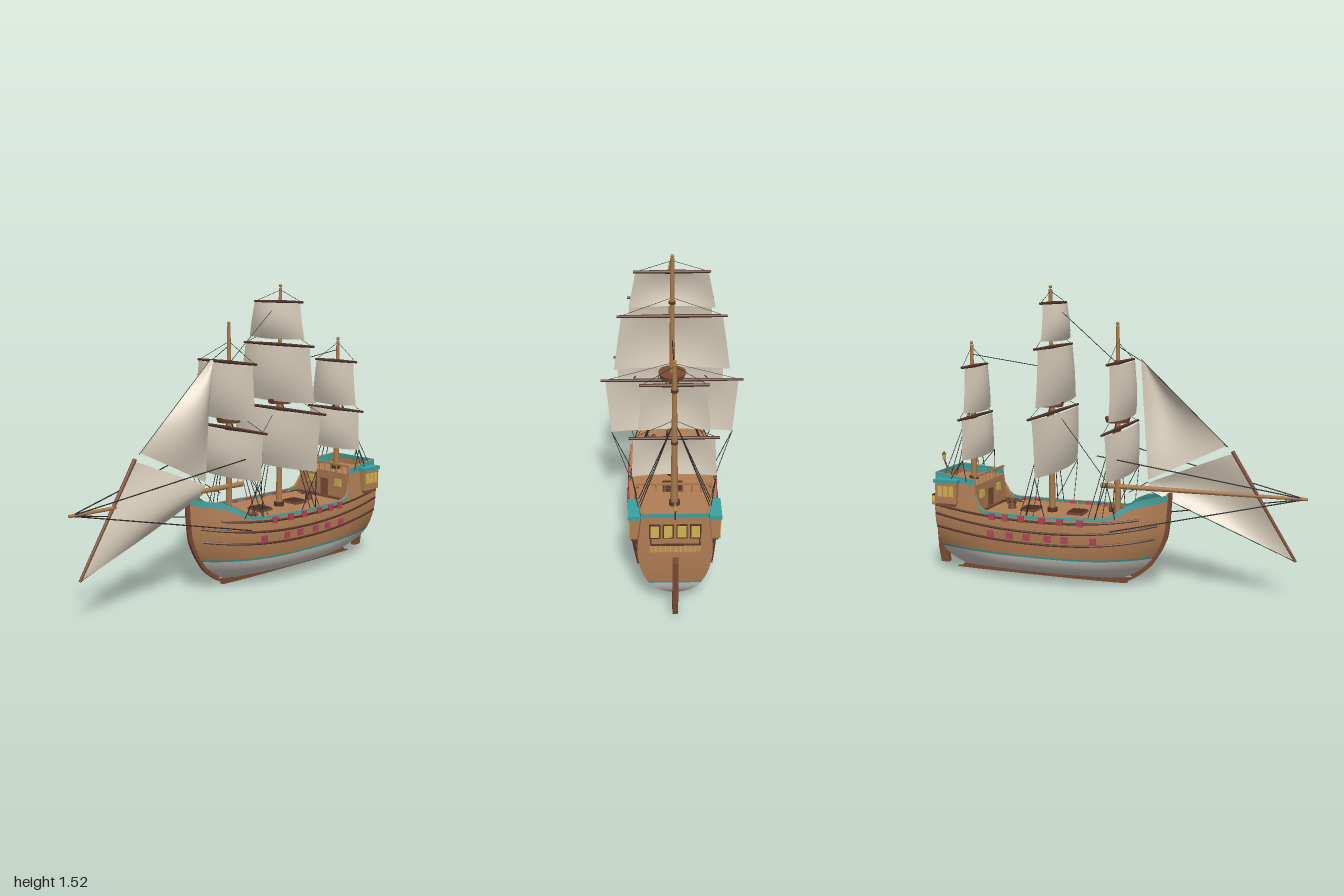
import * as THREE from 'three';

const mat = (name, color, double) => {
  const m = new THREE.MeshStandardMaterial({ color });
  m.name = name;
  if (double) m.side = THREE.DoubleSide;
  return m;
};
const M = {
  wood: mat('plankWood', 0xb07d54, true),
  dark: mat('darkWood', 0x55352a),
  brown: mat('brownWood', 0x7a4a34),
  mast: mat('mastWood', 0xa87a4c),
  white: mat('paleBottom', 0xcdc8c0, true),
  teal: mat('tealTrim', 0x3aa0a0, true),
  sail: mat('sailCloth', 0xd6cbb9, true),
  red: mat('portRed', 0xb04553),
  yellow: mat('windowYellow', 0xd2b252),
  rope: mat('rope', 0x2c2725),
};

// interpolation through a short table, smooth or straight
function table(pts, smooth = true) {
  const slope = i => {
    const a = pts[Math.max(0, i - 1)], b = pts[Math.min(pts.length - 1, i + 1)];
    return (b[1] - a[1]) / (b[0] - a[0]);
  };
  return v => {
    const x = Math.min(Math.max(v, pts[0][0]), pts[pts.length - 1][0]);
    let i = 0;
    while (i < pts.length - 2 && x > pts[i + 1][0]) i++;
    const [x0, y0] = pts[i], [x1, y1] = pts[i + 1], h = x1 - x0, t = (x - x0) / h;
    if (!smooth) return y0 + (y1 - y0) * t;
    const a = 1 - t;
    return y0 * a * a * (1 + 2 * t) + y1 * t * t * (3 - 2 * t) + h * t * a * (slope(i) * a - slope(i + 1) * t);
  };
}

// hull lines: beam, stern fullness, stern and stem rake, sheer of the rail
const beam = table([[0.02, 0.01], [0.045, 0.1], [0.07, 0.15], [0.1, 0.18], [0.15, 0.202], [0.22, 0.211], [0.3, 0.215], [0.38, 0.207], [0.46, 0.192], [0.56, 0.178]]);
const sternFull = table([[0.02, 0.15], [0.1, 0.45], [0.2, 0.68], [0.35, 0.79], [0.56, 0.82]]);
const sternZ = table([[0.02, -0.82], [0.1, -0.885], [0.2, -0.908], [0.35, -0.918], [0.56, -0.92]]);
const stemZ = table([[0.02, 0.04], [0.06, 0.14], [0.1, 0.195], [0.15, 0.238], [0.22, 0.278], [0.3, 0.302], [0.45, 0.316], [0.56, 0.32]]);
const sheer = table([[-0.93, 0.55], [-0.682, 0.525], [-0.677, 0.45], [-0.65, 0.395], [-0.62, 0.372], [-0.3, 0.368], [0.05, 0.378], [0.1, 0.42], [0.17, 0.455], [0.32, 0.482]], false);
const sheerU = u => sheer(-0.92 + 1.236 * u);
const trim = u => (u < 0.195 || u > 0.81 ? 0.03 : 0.014);

function halfWidth(u, y) {
  const f = u > 0.45 ? 1 - ((u - 0.45) / 0.55) ** 3.5 : 1 - (1 - sternFull(y)) * ((0.45 - u) / 0.45) ** 2;
  return beam(y) * f;
}
const hullZ = (u, y) => sternZ(y) + (stemZ(y) - sternZ(y)) * u;
const hullPoint = (s, u, y, out = 0) => [s * (halfWidth(u, y) + out), y, hullZ(u, y)];
const uAt = (z, y) => (z - sternZ(y)) / (stemZ(y) - sternZ(y));

const steps = (n, a = 0, b = 1) => Array.from({ length: n + 1 }, (_, i) => a + (b - a) * i / n);
const stations = [...steps(46).map(t => 1 - (1 - t) ** 1.4), 0.1925, 0.1966, 0.2184].sort((a, b) => a - b);

export function createModel() {
  const root = new THREE.Group();
  root.name = 'sailingShip';
  const add = (name, geo, m, x = 0, y = 0, z = 0, parent = root) => {
    const mesh = new THREE.Mesh(geo, m);
    mesh.name = name;
    mesh.position.set(x, y, z);
    parent.add(mesh);
    return mesh;
  };
  const box = (name, m, w, h, d, x, y, z) => add(name, new THREE.BoxGeometry(w, h, d), m, x, y, z);
  // sheet of points over two parameter lists
  const sheet = (name, m, us, vs, fn) => {
    const pos = [], idx = [], n = vs.length;
    us.forEach(u => vs.forEach(v => pos.push(...fn(u, v))));
    for (let i = 0; i < us.length - 1; i++) for (let j = 0; j < n - 1; j++) {
      const a = i * n + j, b = a + n;
      idx.push(a, b, a + 1, b, b + 1, a + 1);
    }
    const g = new THREE.BufferGeometry();
    g.setAttribute('position', new THREE.Float32BufferAttribute(pos, 3));
    g.setIndex(idx);
    g.computeVertexNormals();
    return add(name, g, m);
  };
  // round bar between two points
  const rod = (name, m, a, b, r0, r1 = r0, sides = 10) => {
    const p = new THREE.Vector3(...a), q = new THREE.Vector3(...b), d = q.clone().sub(p);
    const mesh = add(name, new THREE.CylinderGeometry(r1, r0, d.length(), sides), m);
    mesh.position.copy(p).add(q).multiplyScalar(0.5);
    mesh.quaternion.setFromUnitVectors(new THREE.Vector3(0, 1, 0), d.normalize());
    return mesh;
  };
  const line = (a, b, r = 0.002) => rod('rigging', M.rope, a, b, r, r, 5);

  // hull sides
  for (const s of [1, -1]) {
    sheet('hullBottom', M.white, stations, steps(12, 0.02, 0.148), (u, y) => hullPoint(s, u, y));
    sheet('waterlineStripe', M.teal, stations, [0.148, 0.158], (u, y) => hullPoint(s, u, y));
    sheet('hullSide', M.wood, stations, steps(10), (u, t) => hullPoint(s, u, 0.158 + (sheerU(u) - trim(u) - 0.158) * t));
    sheet('railBand', M.teal, stations, [0, 1], (u, t) => hullPoint(s, u, sheerU(u) - trim(u) * (1 - t), 0.001));
    sheet('capRail', M.wood, stations, [0, 1], (u, t) => {
      const p = hullPoint(s, u, sheerU(u));
      return [s * Math.max(0, halfWidth(u, p[1]) + 0.004 - 0.016 * t), p[1] + 0.001, p[2]];
    });
    // wales run along the side and rise to both ends
    [[0.285, 0.05], [0.225, 0.04], [0.34, 0.04]].forEach(([y0, lift], k) => {
      const pts = steps(26, 0.005, k === 2 ? 0.9 : 0.965).map(u => new THREE.Vector3(...hullPoint(s, u, y0 + lift * (2 * u - 1) ** 2, 0.001)));
      add('wale', new THREE.TubeGeometry(new THREE.CatmullRomCurve3(pts), 60, 0.006, 6), M.dark);
    });
    // gun ports
    const port = (z, y) => box('gunPort', M.red, 0.009, 0.034, 0.034, s * (halfWidth(uAt(z, y), y) + 0.003), y, z);
    [-0.025, -0.17, -0.26, -0.375, -0.47, -0.58].forEach(z => port(z, 0.258));
    [-0.09, -0.195, -0.29, -0.405, -0.495, -0.57].forEach(z => port(z, 0.348));
    // quarter gallery
    box('quarterGallery', M.wood, 0.05, 0.11, 0.12, s * 0.177, 0.45, -0.835);
    box('galleryBase', M.brown, 0.04, 0.02, 0.1, s * 0.176, 0.388, -0.835);
    box('galleryRoof', M.teal, 0.056, 0.018, 0.135, s * 0.18, 0.512, -0.835);
    for (const dz of [-0.032, 0, 0.032]) box('galleryWindow', M.yellow, 0.006, 0.055, 0.025, s * 0.203, 0.46, -0.835 + dz);
  }
  sheet('transomBottom', M.white, [-1, 1], steps(8, 0.02, 0.148), (s, y) => hullPoint(s, 0, y));
  sheet('transomStripe', M.teal, [-1, 1], [0.148, 0.158], (s, y) => hullPoint(s, 0, y));
  sheet('transom', M.wood, [-1, 1], steps(8, 0.158, sheerU(0) - 0.02), (s, y) => hullPoint(s, 0, y));
  sheet('transomTrim', M.teal, [-1, 1], [sheerU(0) - 0.02, sheerU(0)], (s, y) => hullPoint(s, 0, y));

  // decks and cabin front
  const deck = (name, y, u0, u1) => sheet(name, M.wood, steps(30, u0, u1), [1, -1], (u, s) => hullPoint(s, u, y));
  deck('mainDeck', 0.35, 0.19, 1);
  deck('poopDeck', 0.495, 0, 0.195);
  sheet('cabinFront', M.wood, [-1, 1], steps(5, 0.35, 0.495), (s, y) => hullPoint(s, 0.195, y));
  box('deckStep', M.brown, 0.38, 0.012, 0.012, 0, 0.356, -0.66);
  box('cabinDoor', M.brown, 0.05, 0.1, 0.008, 0, 0.402, -0.675);
  for (const x of [-0.1, 0.1]) box('cabinWindow', M.yellow, 0.045, 0.04, 0.008, x, 0.44, -0.675);
  box('poopRail', M.mast, 0.35, 0.008, 0.01, 0, 0.54, -0.68);
  steps(8, -0.165, 0.165).forEach(x => rod('poopBaluster', M.mast, [x, 0.49, -0.68], [x, 0.54, -0.68], 0.003));

  // keel and stem
  const stem = new THREE.Shape();
  stem.moveTo(-0.85, 0.012);
  stem.splineThru([[-0.8, 0.003], [0, 0.002], [0.1, 0.018], [0.2, 0.085], [0.25, 0.148], [0.29, 0.22], [0.314, 0.3], [0.328, 0.49]].map(p => new THREE.Vector2(...p)));
  stem.lineTo(0.305, 0.49);
  stem.splineThru([[0.29, 0.3], [0.22, 0.15], [0.12, 0.06], [0.03, 0.03], [-0.83, 0.03]].map(p => new THREE.Vector2(...p)));
  const keel = add('keel', new THREE.ExtrudeGeometry(stem, { depth: 0.018, bevelEnabled: false, curveSegments: 24 }), M.brown, 0.009);
  keel.rotation.y = -Math.PI / 2;

  // rudder
  const blade = new THREE.Shape([[-0.96, 0.34], [-1, 0.34], [-0.985, 0.1], [-0.972, 0.025], [-0.925, 0.025], [-0.935, 0.12]].map(p => new THREE.Vector2(...p)));
  const rudder = add('rudder', new THREE.ExtrudeGeometry(blade, { depth: 0.026, bevelEnabled: false }), M.brown, 0.013);
  rudder.rotation.y = -Math.PI / 2;

  // stern balcony, windows and lantern
  box('balconyFloor', M.wood, 0.22, 0.014, 0.05, 0, 0.37, -0.942);
  box('balconyRail', M.dark, 0.22, 0.007, 0.007, 0, 0.415, -0.964);
  for (const x of [-0.108, 0.108]) box('balconyRail', M.dark, 0.007, 0.007, 0.045, x, 0.415, -0.942);
  steps(10, -0.108, 0.108).forEach(x => rod('balconyBaluster', M.yellow, [x, 0.37, -0.964], [x, 0.415, -0.964], 0.003));
  for (const x of [-0.09, -0.03, 0.03, 0.09]) {
    box('sternWindowFrame', M.dark, 0.05, 0.075, 0.006, x, 0.455, -0.921);
    box('sternWindow', M.yellow, 0.038, 0.062, 0.008, x, 0.455, -0.922);
  }
  rod('lanternPole', M.dark, [0, 0.52, -0.92], [0, 0.59, -0.948], 0.004);
  add('lantern', new THREE.CylinderGeometry(0.012, 0.008, 0.03, 8), M.yellow, 0, 0.604, -0.948);
  add('lanternCap', new THREE.ConeGeometry(0.014, 0.016, 8), M.dark, 0, 0.626, -0.948);

  // deck fittings
  for (const z of [-0.44, -0.18]) {
    box('hatch', M.brown, 0.1, 0.012, 0.085, 0, 0.355, z);
    steps(5, -0.035, 0.035).forEach(d => box('hatchBar', M.dark, 0.092, 0.006, 0.006, 0, 0.363, z + d));
  }
  add('capstan', new THREE.CylinderGeometry(0.016, 0.022, 0.05, 12), M.brown, 0, 0.375, -0.55);
  for (let i = 0; i < 8; i++) {
    const c = Math.cos(i * Math.PI / 4), s = Math.sin(i * Math.PI / 4);
    rod('capstanBar', M.dark, [c * 0.01, 0.39, -0.55 + s * 0.01], [c * 0.06, 0.39, -0.55 + s * 0.06], 0.003, 0.003, 6);
  }
  const barrel = [[0, 0], [0.011, 0], [0.015, 0.02], [0.011, 0.04], [0, 0.04]].map(p => new THREE.Vector2(...p));
  for (const x of [0.09, 0.125]) add('barrel', new THREE.LatheGeometry(barrel, 12), M.brown, x, 0.35, -0.025);

  // square sail: half widths at head and foot, bellied forward
  const squareSail = (z, top, bottom, w0, w1, depth) => sheet('squareSail', M.sail, steps(16, -1, 1), steps(12), (s, t) => [
    s * (w0 + (w1 - w0) * t), top + (bottom - top) * t + 0.006 * t * s * s,
    z + 0.022 + depth * (1 - 0.85 * s * s) * (0.3 + 0.7 * Math.sin(Math.PI * (0.08 + 0.72 * t)))]);
  // masts: z, foot, head, top platform, then [yard y, yard half, sail foot, head half, foot half]
  [[0.04, 0.35, 1.34, 0.85, [[1.14, 0.215, 0.86, 0.2, 0.225], [0.81, 0.29, 0.57, 0.275, 0.265]]],
    [-0.32, 0.35, 1.52, 0.915, [[1.43, 0.175, 1.24, 0.165, 0.2], [1.21, 0.255, 0.92, 0.235, 0.275], [0.875, 0.34, 0.575, 0.318, 0.295]]],
    [-0.77, 0.49, 1.23, 0, [[1.1, 0.15, 0.86, 0.135, 0.16], [0.835, 0.2, 0.62, 0.18, 0.19]]],
  ].forEach(([z, foot, head, platform, yards]) => {
    rod('mast', M.mast, [0, foot, z], [0, head - 0.02, z], 0.017, 0.009, 12);
    add('mastCap', new THREE.SphereGeometry(0.009, 10, 8), M.mast, 0, head - 0.009, z);
    for (const f of [0.45, 0.8]) add('mastBand', new THREE.CylinderGeometry(0.016, 0.016, 0.012, 12), M.dark, 0, foot + (head - foot) * f, z);
    rod('mastCollar', M.dark, [0, foot, z], [0, foot + 0.022, z], 0.026);
    if (platform) add('topPlatform', new THREE.CylinderGeometry(0.066, 0.058, 0.026, 20), M.brown, 0, platform, z);
    for (const [y, half, low, w0, w1] of yards) {
      for (const s of [1, -1]) {
        rod('yard', M.dark, [0, y, z + 0.016], [s * half, y, z + 0.016], 0.0095, 0.006);
        line([0, Math.min(y + 0.1, head - 0.03), z], [s * half * 0.95, y, z + 0.016], 0.0012);
      }
      squareSail(z, y - 0.005, low, w0, w1, z < -0.5 ? 0.045 : 0.055);
    }
    // shrouds and sheets
    const [, , low, , w1] = yards[yards.length - 1];
    const hitch = platform || 0.9;
    for (const s of [1, -1]) {
      for (const dz of [-0.02, -0.055, -0.09]) {
        const y = sheer(z + dz), x = halfWidth(uAt(z + dz, y), y);
        line([s * 0.012, hitch, z], [s * x, y, z + dz]);
      }
      const y = foot + 0.02;
      line([s * w1, low + 0.005, z + 0.03], [s * halfWidth(uAt(z - 0.06, y), y), y, z - 0.06]);
      line([s * w1, low + 0.005, z + 0.03], [s * halfWidth(uAt(z + 0.04, y), y), y, z + 0.04]);
    }
  });

  // bowsprit, slanted yard and fore-and-aft sails
  rod('bowsprit', M.mast, [0, 0.507, -0.05], [0, 0.507, 1], 0.014, 0.008);
  rod('slantedYard', M.brown, [0, 0.195, 0.95], [0, 0.72, 0.63], 0.007, 0.01);
  // corners given as [y, z]: head luff, head leech, foot luff, foot leech
  const staySail = (a, b, c, d, belly) => sheet('staySail', M.sail, steps(14), steps(14), (s, t) => {
    const mix = k => (a[k] * (1 - s) + b[k] * s) * (1 - t) + (c[k] * (1 - s) + d[k] * s) * t;
    return [0.004 + belly * Math.sin(Math.PI * s) * Math.sin(Math.PI * (0.1 + 0.85 * t)), mix(0), mix(1)];
  });
  staySail([1.155, 0.165], [1.155, 0.16], [0.745, 0.6], [0.55, 0.2], 0.06);
  staySail([0.71, 0.635], [0.535, 0.2], [0.2, 0.945], [0.49, 0.22], 0.06);

  // stays and bowsprit guys
  for (const s of [1, -1]) {
    line([0, 0.507, 0.99], [s * 0.2, 0.695, 0.0], 0.003);
    line([0, 0.507, 0.99], [s * 0.19, 0.315, 0.06], 0.003);
  }
  line([0, 1.43, -0.31], [0, 1.13, 0.04]);
  line([0, 1.16, -0.77], [0, 1.1, -0.33]);
  line([0, 0.9, -0.31], [0, 0.5, 0.0]);
  line([0, 1.22, 0.04], [0, 1.15, 0.16]);
  line([0, 1.155, 0.163], [0, 0.74, 0.605]);
  line([0, 0.195, 0.95], [0, 0.49, 0.22]);
  line([0, 0.54, 0.2], [0, 0.48, 0.1]);
  return root;
}
